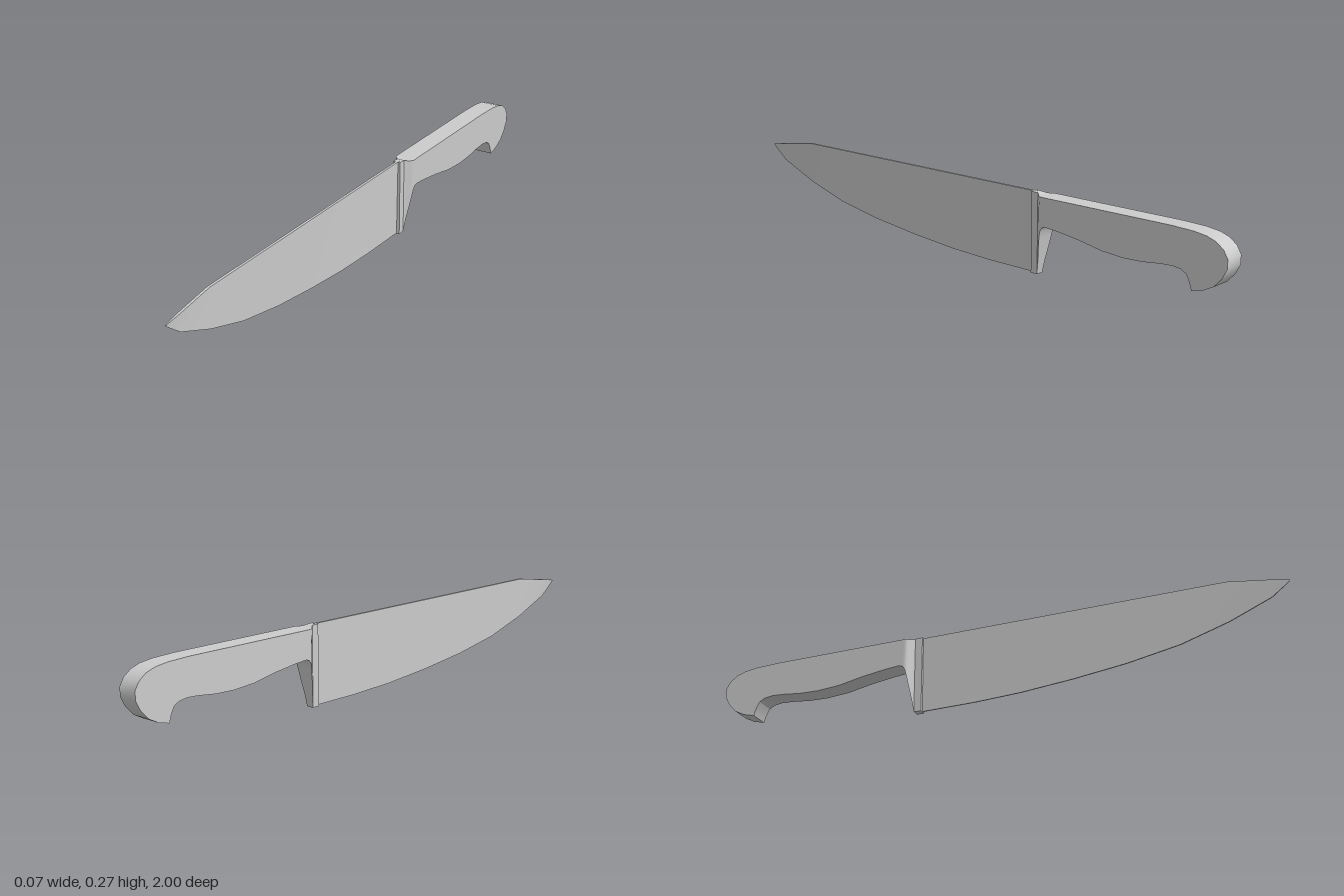
import * as THREE from 'three';
import { toCreasedNormals } from 'three/addons/utils/BufferGeometryUtils.js';

const material = new THREE.MeshStandardMaterial({ color: 0xcccccc });

function part(name, geometry) {
  const mesh = new THREE.Mesh(toCreasedNormals(geometry, 0.55), material);
  mesh.name = name;
  return mesh;
}

// Joins four-cornered cross-sections, listed front to back:
// [z, bottom y, top y, half width at bottom, half width at top]
function loft(sections) {
  const positions = [];
  const index = [];
  sections.forEach(([z, yb, yt, wb, wt]) => {
    positions.push(-wb, yb, z, wb, yb, z, wt, yt, z, -wt, yt, z);
  });
  for (let i = 0; i < sections.length - 1; i++) {
    for (let k = 0; k < 4; k++) {
      const a = i * 4 + k;
      const b = i * 4 + ((k + 1) % 4);
      index.push(a, a + 4, b + 4, a, b + 4, b);
    }
  }
  const e = (sections.length - 1) * 4;
  index.push(0, 1, 2, 0, 2, 3, e, e + 2, e + 1, e, e + 3, e + 2);
  const geometry = new THREE.BufferGeometry();
  geometry.setAttribute('position', new THREE.Float32BufferAttribute(positions, 3));
  geometry.setIndex(index);
  return geometry;
}

export function createModel() {
  const knife = new THREE.Group();
  knife.name = 'chefKnife';

  // Blade: straight spine, curved belly, thinning to the edge and tip
  const belly = [
    [1, 0.236, 0.24], [0.94, 0.19, 0.25], [0.8, 0.132, 0.271], [0.64, 0.083, 0.271],
    [0.46, 0.05, 0.271], [0.28, 0.028, 0.271], [0.1, 0.012, 0.271],
    [-0.06, 0.005, 0.271], [-0.26, 0.003, 0.271],
  ];
  knife.add(part('blade', loft(belly.map(([z, yb, yt], i) =>
    [z, yb, yt, i === 0 ? 0.001 : 0.002, i === 0 ? 0.0015 : 0.0045]))));

  // Bolster: narrow collar flaring into the handle, with a slanted heel
  const bolster = [
    [-0.25, 0.002, 0.271, 0.013], [-0.276, 0.002, 0.27, 0.013], [-0.283, 0.045, 0.267, 0.018],
    [-0.291, 0.09, 0.265, 0.026], [-0.298, 0.13, 0.265, 0.032], [-0.303, 0.152, 0.265, 0.035],
    [-0.312, 0.166, 0.265, 0.035],
  ];
  knife.add(part('bolster', loft(bolster.map(([z, yb, yt, w]) => [z, yb, yt, w, w]))));

  // Handle: side outline (z, y) with a hooked butt, extruded across x
  const outline = [
    [-0.312, 0.166], [-0.312, 0.265], [-0.8, 0.265], [-0.88, 0.262], [-0.925, 0.256],
    [-0.958, 0.245], [-0.985, 0.225], [-1, 0.2], [-1, 0.17], [-0.983, 0.138],
    [-0.955, 0.108], [-0.92, 0.09], [-0.88, 0.08], [-0.872, 0.105], [-0.86, 0.128],
    [-0.84, 0.139], [-0.81, 0.143], [-0.77, 0.141], [-0.7, 0.133], [-0.63, 0.131],
    [-0.55, 0.137], [-0.46, 0.154], [-0.38, 0.165], [-0.325, 0.17],
  ];
  const shape = new THREE.Shape(outline.map(([z, y]) => new THREE.Vector2(z, y)));
  const handle = new THREE.ExtrudeGeometry(shape, { depth: 0.07, bevelEnabled: false });
  handle.translate(0, 0, -0.035);
  handle.rotateY(-Math.PI / 2);
  knife.add(part('handle', handle));

  return knife;
}
